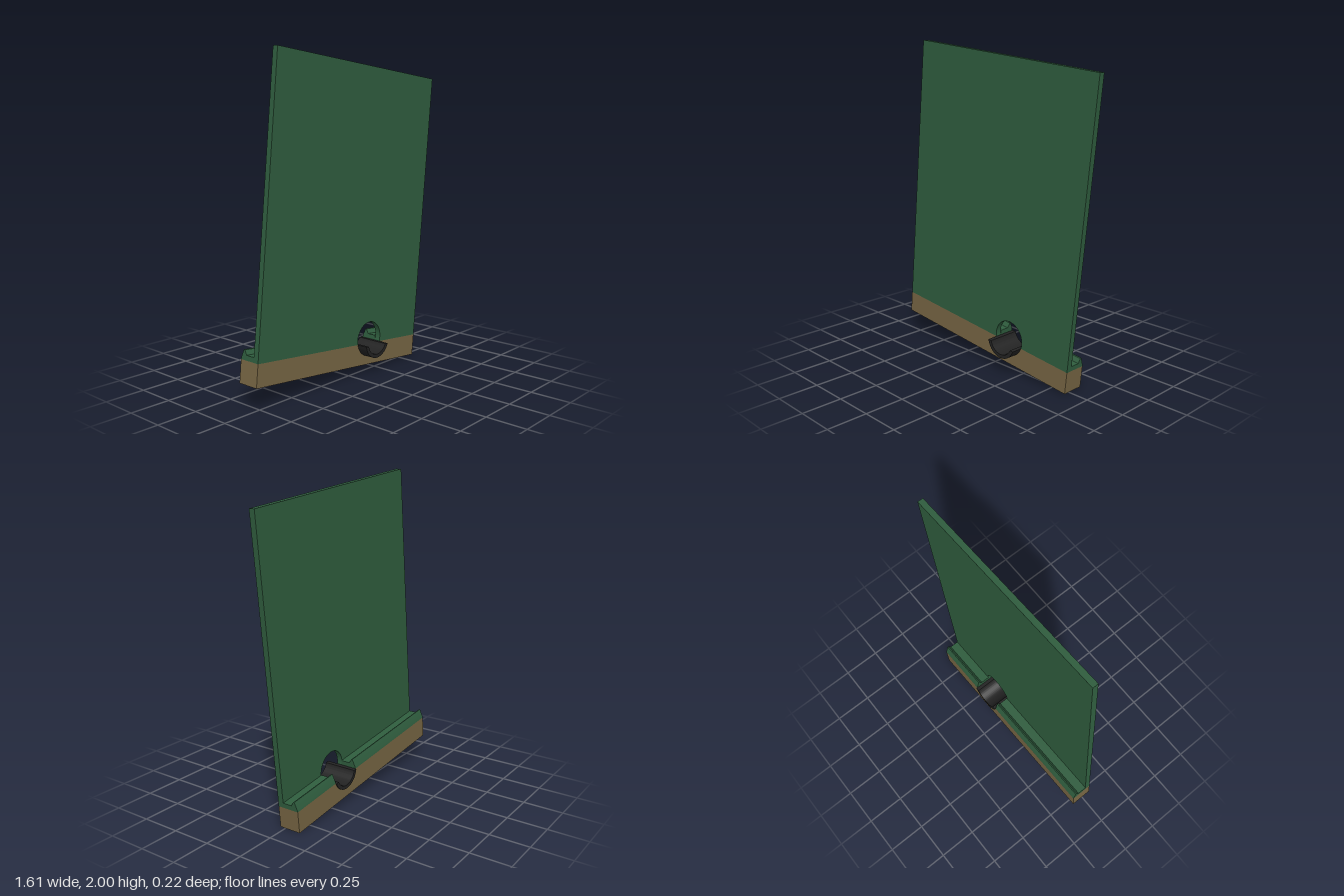
import * as THREE from 'three';
import { toCreasedNormals } from 'three/addons/utils/BufferGeometryUtils.js';

const W = 1.422, H = 1.864;        // board outline
const SEAM = 0.137;                // top of the wooden rail
const HOLE = { x: 0.946, y: 0.165, outer: 0.109, inner: 0.086 };
const TILT = Math.asin(0.1028);

const green = new THREE.MeshStandardMaterial({ color: 0x2f5d3e });
green.name = 'board green';
const brown = new THREE.MeshStandardMaterial({ color: 0x766543 });
brown.name = 'rail brown';
const black = new THREE.MeshStandardMaterial({ color: 0x222222 });
black.name = 'holder black';

// angle below horizontal, and half width, where a circle meets the seam line
const dip = (r) => Math.asin((HOLE.y - SEAM) / r);
const half = (r) => r * Math.cos(dip(r));

function extrude(name, shape, z0, z1, material) {
  const geo = new THREE.ExtrudeGeometry(shape, { depth: z1 - z0, bevelEnabled: false, curveSegments: 32 });
  geo.translate(0, 0, z0);
  const mesh = new THREE.Mesh(toCreasedNormals(geo, 0.5), material);
  mesh.name = name;
  return mesh;
}

export function createModel() {
  const group = new THREE.Group();
  group.name = 'tiltedBoard';
  const { x, y, outer, inner } = HOLE;
  const a = dip(outer), h = half(outer), b = dip(inner);

  // upright panel with the upper part of the round hole
  const panel = new THREE.Shape();
  panel.moveTo(0, SEAM);
  panel.lineTo(x - h, SEAM);
  panel.absarc(x, y, outer, Math.PI + a, -a, true);
  panel.lineTo(W, SEAM);
  panel.lineTo(W, H);
  panel.lineTo(0, H);
  group.add(extrude('panel', panel, 0, 0.036, green));

  // wooden rail with the lower part of the hole
  const rail = new THREE.Shape();
  rail.moveTo(0, 0);
  rail.lineTo(W, 0);
  rail.lineTo(W, SEAM);
  rail.lineTo(x + h, SEAM);
  rail.absarc(x, y, outer, -a, -Math.PI + a, true);
  rail.lineTo(0, SEAM);
  group.add(extrude('rail', rail, -0.104, 0.036, brown));

  // open trough lining the hole
  const trough = new THREE.Shape();
  trough.moveTo(x - h, SEAM);
  trough.absarc(x, y, outer, Math.PI + a, 2 * Math.PI - a, false);
  trough.lineTo(x + half(inner), SEAM);
  trough.absarc(x, y, inner, -b, -Math.PI + b, true);
  group.add(extrude('trough', trough, -0.111, 0.106, black));

  // rear ledge with a raised lip, interrupted by the hole
  const profile = new THREE.Shape([
    [0, SEAM], [0.104, SEAM], [0.102, 0.148], [0.084, 0.196],
    [0.076, 0.194], [0.06, 0.167], [0, 0.167],
  ].map(([back, up]) => new THREE.Vector2(back, up)));
  for (const [name, from, to] of [['ledgeRight', 0, x - h], ['ledgeLeft', x + h, W]]) {
    const ledge = extrude(name, profile, from, to, green);
    ledge.rotation.y = Math.PI / 2;
    group.add(ledge);
  }

  // lean the whole board sideways and stand it on its lowest corner
  group.rotation.z = -TILT;
  group.position.set(-0.803, W * Math.sin(TILT), 0);
  const model = new THREE.Group();
  model.name = 'model';
  model.add(group);
  return model;
}
